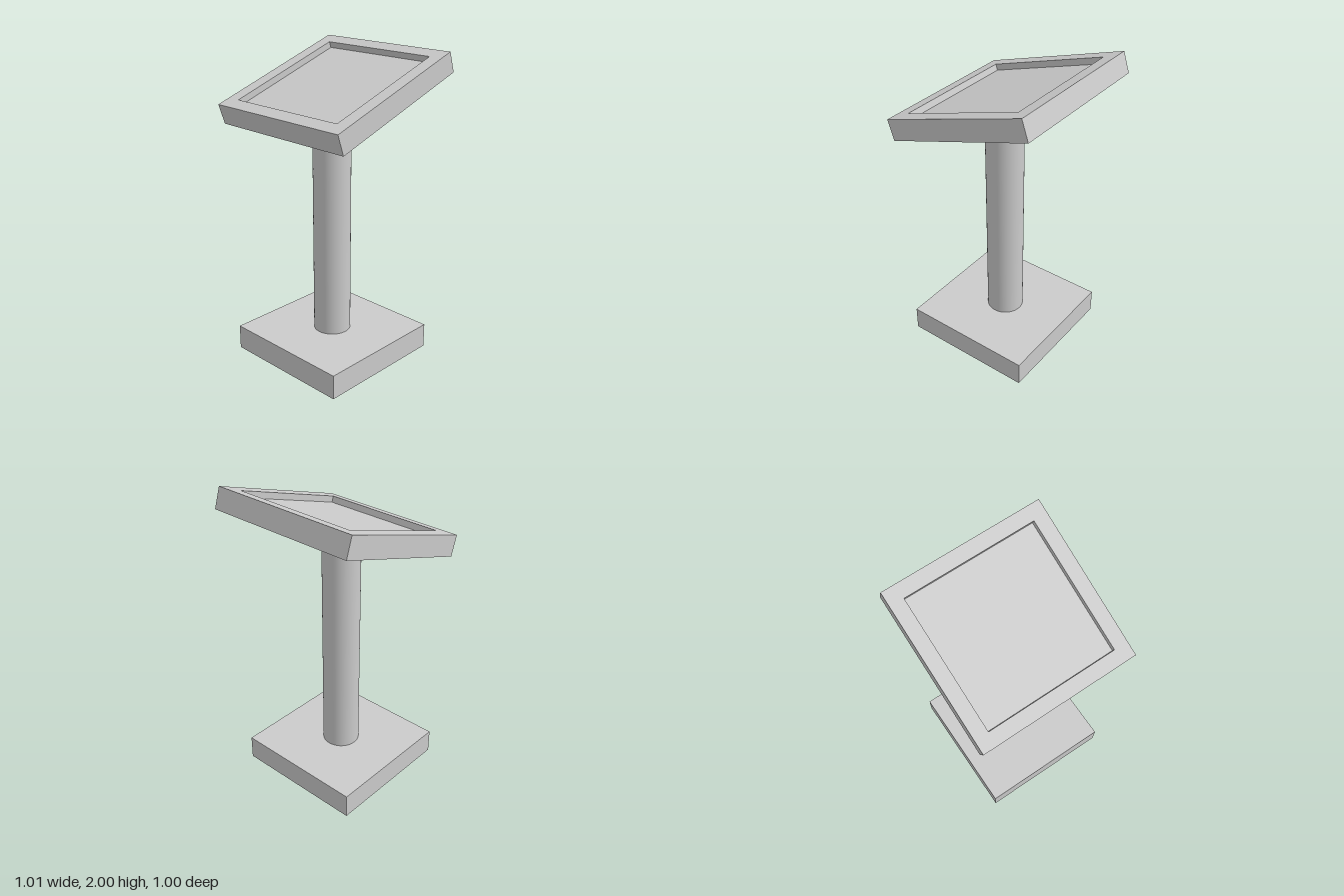
import * as THREE from 'three';

export function createModel() {
  const model = new THREE.Group();
  const smooth = new THREE.MeshStandardMaterial({ color: 0xcccccc });
  const flat = new THREE.MeshStandardMaterial({ color: 0xcccccc, flatShading: true });
  const axisZ = 0.03; // base and column sit slightly forward of centre

  const add = (name, geometry, material, y, z) => {
    const mesh = new THREE.Mesh(geometry, material);
    mesh.name = name;
    mesh.position.set(0, y, z);
    model.add(mesh);
    return mesh;
  };

  // Square foot
  const baseHeight = 0.163;
  add('base', new THREE.BoxGeometry(0.882, baseHeight, 0.882), flat, baseHeight / 2, axisZ);

  // Round column, its flat top tucked into the tilted panel
  const columnTop = 1.717;
  const columnHeight = columnTop - baseHeight;
  add('column', new THREE.CylinderGeometry(0.121, 0.121, columnHeight, 48), smooth,
    baseHeight + columnHeight / 2, axisZ);

  // Tilted square panel with a recessed top: a profile turned in four steps
  const half = 0.5065, opening = 0.417, halfThick = 0.0675, recess = 0.041;
  const profile = [
    [0, -halfThick],
    [half, -halfThick],
    [half, halfThick],
    [opening, halfThick],
    [opening, halfThick - recess],
    [0, halfThick - recess],
  ].map(([side, y]) => new THREE.Vector2(side * Math.SQRT2, y));
  const panel = add('displayPanel', new THREE.LatheGeometry(profile, 4, Math.PI / 4), flat, 1.775, 0);
  panel.rotation.x = THREE.MathUtils.degToRad(18.5);

  return model;
}
